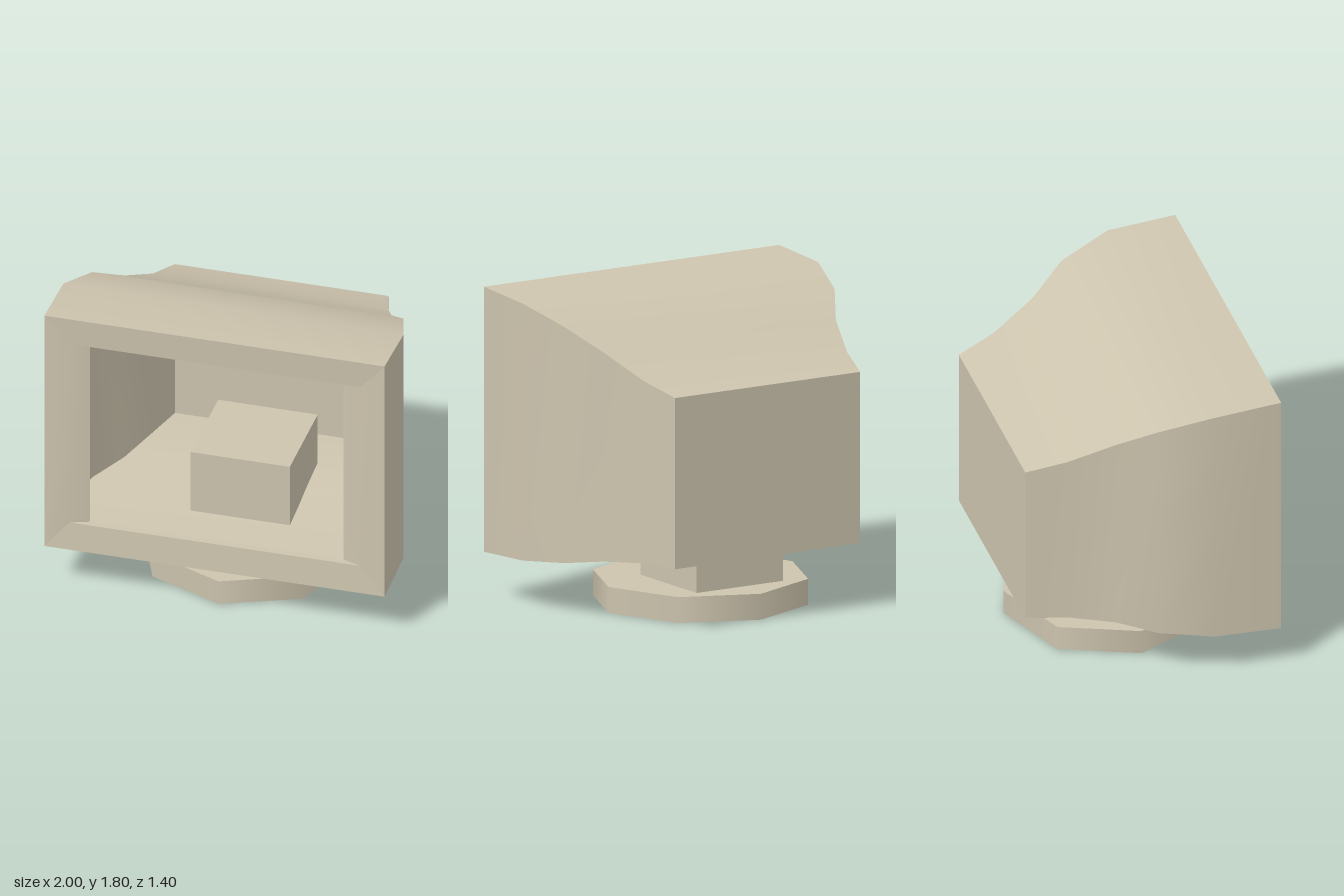
import * as THREE from 'three';

const casing = new THREE.MeshStandardMaterial({ color: 0xcdc4ae, side: THREE.DoubleSide });
casing.name = 'beige casing';

// Smooth sheet through rows of [left point, right point]
function strip(name, rows) {
  const index = [];
  for (let i = 0; i < rows.length - 1; i++) {
    const a = 2 * i;
    index.push(a, a + 1, a + 2, a + 1, a + 3, a + 2);
  }
  const geometry = new THREE.BufferGeometry();
  geometry.setAttribute('position', new THREE.Float32BufferAttribute(rows.flat(2), 3));
  geometry.setIndex(index);
  geometry.computeVertexNormals();
  const mesh = new THREE.Mesh(geometry, casing);
  mesh.name = name;
  return mesh;
}

// Hollow housing that tapers to the back: z, half width, bottom, top
function buildHousing() {
  const sections = [
    [0.7, 1, 0.27, 1.805],
    [0.3, 1, 0.292, 1.78],
    [0, 0.915, 0.322, 1.69],
    [-0.21, 0.785, 0.354, 1.563],
    [-0.47, 0.69, 0.38, 1.437],
    [-0.7, 0.627, 0.38, 1.372],
  ];
  const corners = sections.map(([z, w, low, high]) => [
    [-w, high, z], [w, high, z], [w, low, z], [-w, low, z],
  ]);
  const group = new THREE.Group();
  group.name = 'housing';
  ['housingTop', 'housingLeft', 'housingBottom', 'housingRight'].forEach((name, k) => {
    group.add(strip(name, corners.map((c) => [c[k], c[(k + 1) % 4]])));
  });
  const [tl, tr, br, bl] = corners[corners.length - 1];
  group.add(strip('backPanel', [[tl, tr], [bl, br]]));
  return group;
}

// Front frame around the opening, with side strips that curve inward
function buildBezel() {
  const group = new THREE.Group();
  group.name = 'bezel';
  const ring = (w, low, high, z) => ({
    tl: [-w, high, z], tr: [w, high, z], br: [w, low, z], bl: [-w, low, z],
  });
  const outer = ring(1, 0.27, 1.805, 0.7);
  const lip = ring(0.855, 0.445, 1.635, 0.69);
  const inner = ring(0.745, 0.445, 1.635, 0.65);
  group.add(
    strip('bezelTop', [[lip.tl, lip.tr], [outer.tl, outer.tr]]),
    strip('bezelBottom', [[outer.bl, outer.br], [lip.bl, lip.br]]),
    strip('bezelLeft', [inner, lip, outer].map((r) => [r.tr, r.br])),
    strip('bezelRight', [outer, lip, inner].map((r) => [r.tl, r.bl])),
    strip('lowerLedge', [[lip.bl, lip.br], [inner.bl, inner.br]]),
    strip('upperLedge', [[inner.tl, inner.tr], [lip.tl, lip.tr]]),
  );
  return group;
}

export function createModel() {
  const model = new THREE.Group();
  model.name = 'monitor';
  model.add(buildHousing(), buildBezel());

  // Neck reaches up into the hollow housing
  const neck = new THREE.Mesh(new THREE.BoxGeometry(0.585, 0.555, 0.58), casing);
  neck.name = 'neck';
  neck.position.set(0, 0.4175, -0.125);

  // Eight-sided foot
  const foot = new THREE.Mesh(new THREE.CylinderGeometry(0.622, 0.622, 0.15, 8), casing);
  foot.name = 'foot';
  foot.position.set(0, 0.075, -0.01);

  model.add(neck, foot);
  return model;
}
